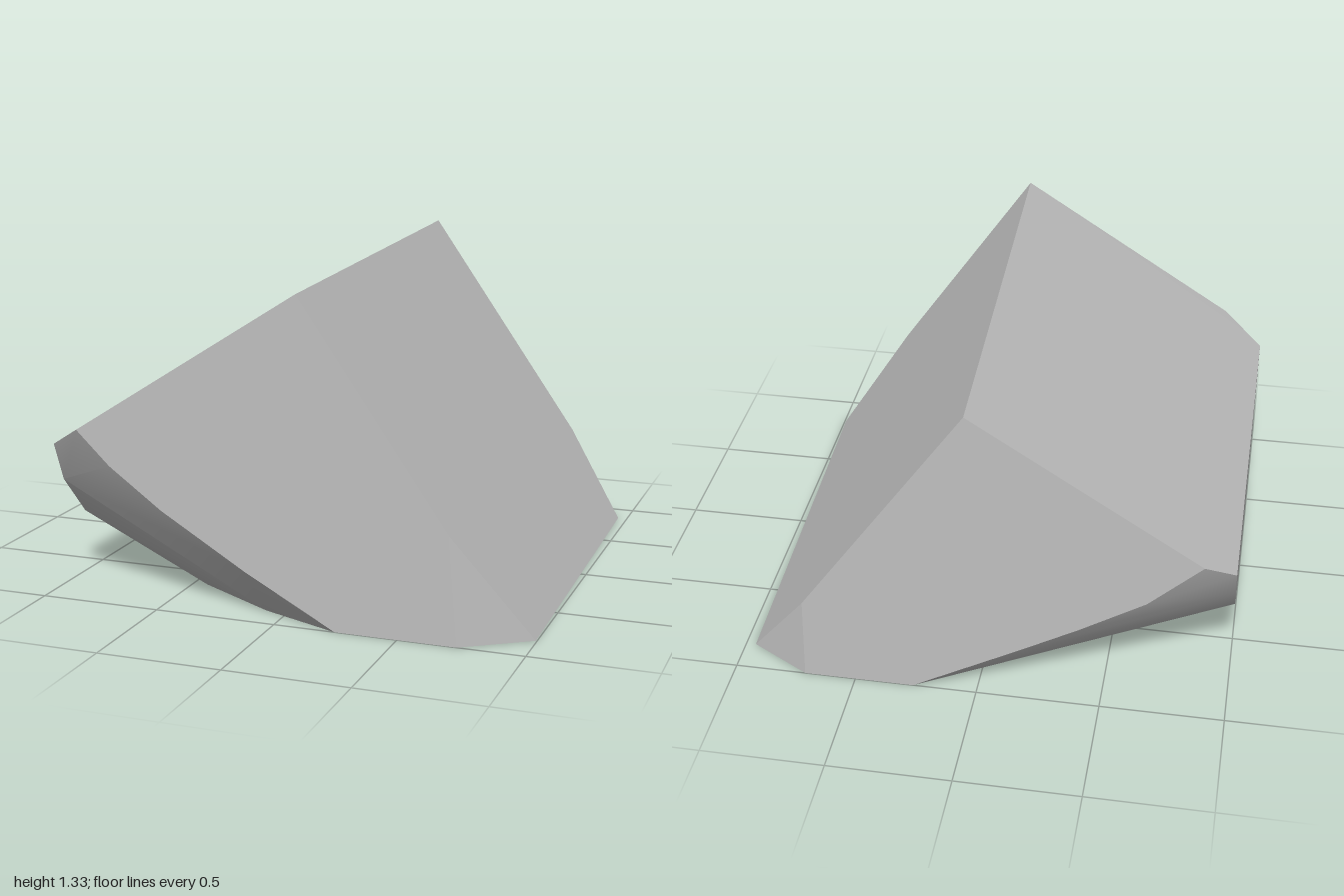
import * as THREE from 'three';
import { ConvexGeometry } from 'three/addons/geometries/ConvexGeometry.js';
import { toCreasedNormals } from 'three/addons/utils/BufferGeometryUtils.js';

export function createModel() {
  const group = new THREE.Group();
  group.name = 'rock';

  const stone = new THREE.MeshStandardMaterial({ color: 0xc0c0c0 });
  stone.name = 'grey stone';

  const v = (x, y, z) => new THREE.Vector3(x, y, z);

  // sloping ridge along the top
  const ridge = [v(0.03, 1.33, -1), v(0.1, 1.295, 1)];

  // right slope: bevelled corners at front and back
  const rightSlope = [
    v(0.7, 0.43, 1), v(0.735, 0, 1), v(0.995, 0, 0.83),
    v(0.7, 0.37, -1), v(0.71, 0, -1), v(0.96, 0, -0.86),
  ];

  // flat left end, [z, y], rounded underneath
  const leftEnd = [
    [-0.92, 0.67], [-0.82, 0.5], [-0.71, 0.36], [-0.44, 0.18], [-0.21, 0.09], [0.05, 0.065],
    [0.37, 0.12], [0.64, 0.26], [0.81, 0.44], [0.88, 0.605],
  ].map(([z, y]) => v(-1, y, z));

  // lower curved edge of the front and back walls, [x, y]
  const frontEdge = [[-0.83, 0.705], [-0.69, 0.57], [-0.47, 0.41], [-0.12, 0.2], [0.25, 0]]
    .map(([x, y]) => v(x, y, 1));
  const backEdge = [[-0.88, 0.75], [-0.67, 0.55], [-0.41, 0.385], [-0.18, 0.25], [0.26, 0]]
    .map(([x, y]) => v(x, y, -1));

  // rounded left side of the flat base, [x, z]
  const base = [
    [-0.17, -0.69], [-0.46, -0.47], [-0.71, -0.2], [-0.82, 0.04],
    [-0.8, 0.22], [-0.72, 0.39], [-0.44, 0.65], [-0.09, 0.86],
  ].map(([x, z]) => v(x, 0, z));

  const hull = new ConvexGeometry([
    ...ridge, ...rightSlope, ...leftEnd, ...frontEdge, ...backEdge, ...base,
  ]);
  const body = new THREE.Mesh(toCreasedNormals(hull, 0.3), stone);
  body.name = 'rockBody';
  group.add(body);
  return group;
}
